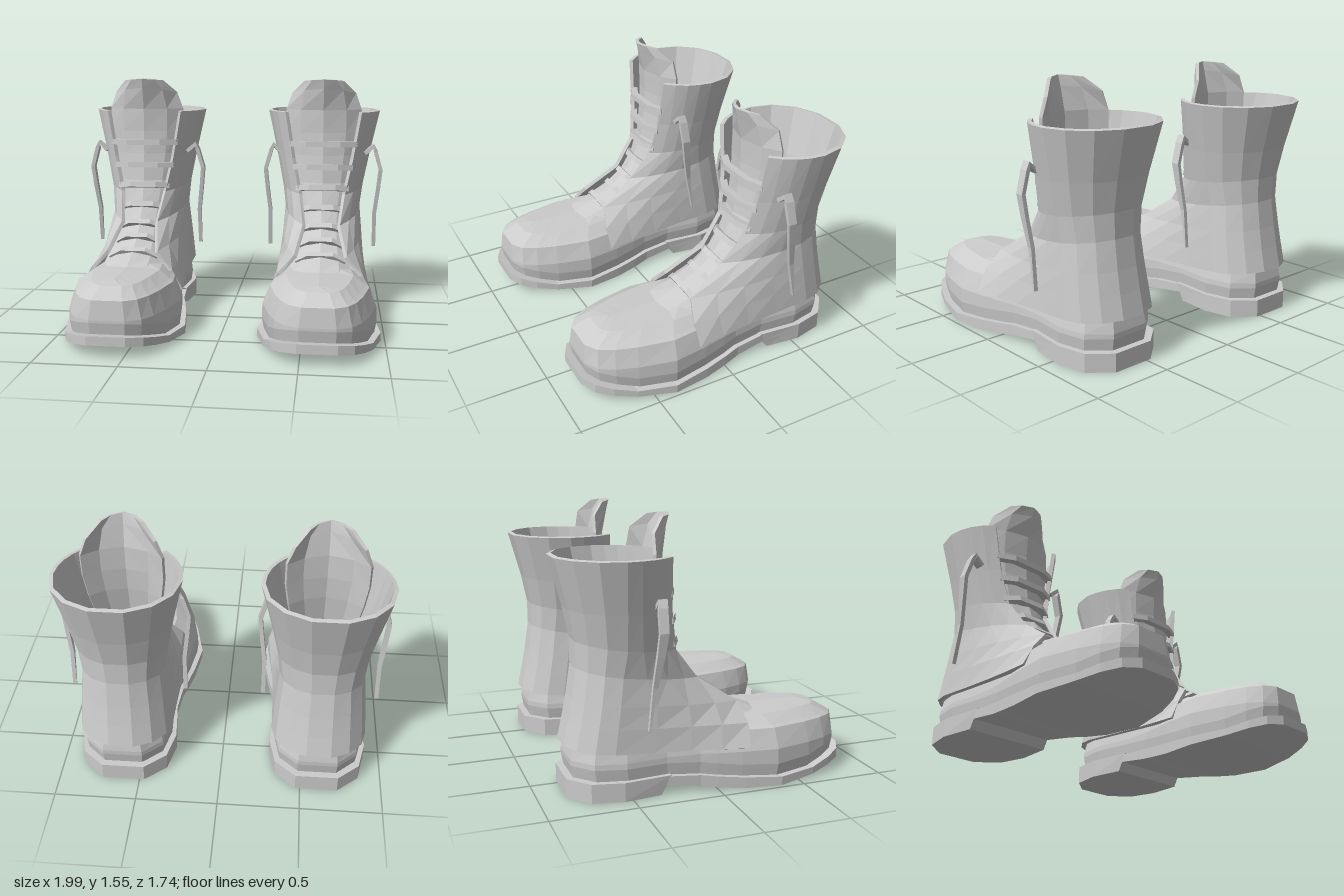
import * as THREE from 'three';

const material = new THREE.MeshStandardMaterial({ color: 0xcccccc, flatShading: true, side: THREE.DoubleSide });

function geometry(points, index) {
  const g = new THREE.BufferGeometry();
  g.setAttribute('position', new THREE.Float32BufferAttribute(points.flat(), 3));
  g.setIndex(index);
  g.computeVertexNormals();
  return g;
}

// Quads between rows of points; closed joins the last column to the first
function quads(rows, cols, closed) {
  const index = [];
  for (let r = 0; r < rows - 1; r++) {
    for (let c = 0; c < (closed ? cols : cols - 1); c++) {
      const d = (c + 1) % cols, a = r * cols + c, b = r * cols + d;
      index.push(a, b, b + cols, a, b + cols, a + cols);
    }
  }
  return index;
}

const loft = rings => geometry(rings.flat(), quads(rings.length, rings[0].length, true));

// Sheet of points given thickness t behind its front face
function shell(rows, t) {
  const R = rows.length, C = rows[0].length, n = R * C;
  const outer = rows.flat(), face = quads(R, C, false);
  const normal = geometry(outer, face).attributes.normal;
  const inner = outer.map((p, i) => [p[0] - normal.getX(i) * t, p[1] - normal.getY(i) * t, p[2] - normal.getZ(i) * t]);
  const index = [...face];
  for (let i = 0; i < face.length; i += 3) index.push(face[i] + n, face[i + 2] + n, face[i + 1] + n);
  const rim = [];
  for (let c = 0; c < C - 1; c++) rim.push(c);
  for (let r = 0; r < R - 1; r++) rim.push(r * C + C - 1);
  for (let c = C - 1; c > 0; c--) rim.push((R - 1) * C + c);
  for (let r = R - 1; r > 0; r--) rim.push(r * C);
  rim.forEach((a, i) => {
    const b = rim[(i + 1) % rim.length];
    index.push(b, a, a + n, b, a + n, b + n);
  });
  return geometry([...outer, ...inner], index);
}

// Piecewise linear lookup in [key, value] pairs
function lookup(table, v) {
  if (v <= table[0][0]) return table[0][1];
  for (let i = 1; i < table.length; i++) {
    const [a, p] = table[i - 1], [b, q] = table[i];
    if (v <= b) return p + (q - p) * (v - a) / (b - a);
  }
  return table[table.length - 1][1];
}

const mirrored = half => [...half, ...half.map(([x, ...rest]) => [-x, ...rest]).reverse()];

// Half outline of the sole, toe to heel, as [x, z]
const halfOutline = [[0.115, 0.87], [0.21, 0.82], [0.27, 0.73], [0.32, 0.6], [0.375, 0.37], [0.345, 0.15], [0.315, 0],
  [0.29, -0.1], [0.275, -0.3], [0.3, -0.55], [0.26, -0.73], [0.13, -0.84]];
const outline = mirrored(halfOutline);
const soleTop = [[-0.84, 0.11], [-0.2, 0.105], [0, 0.08], [0.2, 0.06], [0.4, 0.05], [0.6, 0.06], [0.87, 0.125]];
const soleBottom = [[-0.84, 0.06], [-0.27, 0.055], [0, 0.015], [0.15, 0], [0.5, 0], [0.87, 0.07]];

function sole() {
  const ring = (s, table) => outline.map(([x, z]) => [x * s, lookup(table, z), z]);
  return loft([ring(0, soleBottom), ring(1, soleBottom), ring(1, soleTop), ring(0, soleTop)]);
}

function heel() {
  const back = halfOutline.filter(p => p[1] < -0.4);
  const ring = (s, y, front) => mirrored([[0.275, front], ...back]).map(([x, z]) => [x * s, y, z]);
  return loft([ring(0, 0, -0.33), ring(1, 0, -0.33), ring(1, 0.11, -0.27), ring(0, 0.11, -0.27)]);
}

// Foot: rings of [x scale, z scale, height], low and flat inside the shaft
function foot() {
  const levels = [[0.9, 0.95, 0], [0.93, 0.965, 0.13], [0.92, 0.965, 0.21], [0.8, 0.95, 0.325],
    [0.74, 0.925, 0.337], [0.55, 0.83, 0.385], [0, 0.72, 0.4]];
  return loft(levels.map(([sx, sz, h], k) => outline.map(([x, z]) => {
    const base = lookup(soleTop, z);
    const inside = z < 0.1;
    let y = k < 2 ? base + k * 0.07 : h;
    if (inside) y = Math.min(y, 0.28);
    else if (k === 6 && z < 0.3) y = 0.43;
    return [x * (inside && k === 3 ? 0.86 : sx), y, z * sz];
  })));
}

// Shaft: each row runs from one front edge around the heel to the other
function shaft() {
  // front edge x, y, z, then half width, back height, centre z, back z
  const rows = [
    [0.33, 0.23, 0.19, 0.29, 0.285, -0.6, -0.84],
    [0.265, 0.36, 0.2, 0.28, 0.42, -0.58, -0.81],
    [0.165, 0.47, 0.17, 0.27, 0.55, -0.56, -0.785],
    [0.12, 0.62, -0.06, 0.255, 0.72, -0.54, -0.76],
    [0.15, 0.8, -0.2, 0.275, 0.87, -0.52, -0.76],
    [0.2, 1.03, -0.24, 0.315, 1.05, -0.53, -0.795],
    [0.25, 1.335, -0.255, 0.38, 1.335, -0.55, -0.87],
  ];
  return shell(rows.map(([fx, fy, fz, w, by, cz, bz]) => {
    const half = [];
    for (let i = 0; i < 4; i++) {
      const t = i / 4, u = 1 - t, mid = cz + 0.6 * (fz - cz);
      half.push([u * u * fx + (1 - u * u) * w, 0, u * u * fz + 2 * u * t * mid + t * t * cz]);
    }
    for (const deg of [0, 25, 50, 75]) {
      const a = THREE.MathUtils.degToRad(deg);
      half.push([w * Math.cos(a), 0, cz + (bz - cz) * Math.sin(a) / Math.sin(Math.PI * 75 / 180)]);
    }
    for (const p of half) p[1] = fy + (by - fy) * (fz - p[2]) / (fz - bz);
    return mirrored(half);
  }), 0.025);
}

// Tongue: sections of z, y, half width, edge set-back, edge drop
function tongue() {
  const sections = [[0.32, 0.4, 0.2, 0, 0.05], [0.17, 0.455, 0.19, 0.03, 0.07], [0.03, 0.53, 0.17, 0.05, 0.06],
    [-0.07, 0.61, 0.16, 0.08, 0.03], [-0.15, 0.72, 0.17, 0.09, 0], [-0.21, 0.87, 0.2, 0.09, 0],
    [-0.235, 1.05, 0.23, 0.1, 0], [-0.245, 1.2, 0.25, 0.1, 0], [-0.24, 1.35, 0.25, 0.11, 0],
    [-0.205, 1.49, 0.21, 0.14, 0.03], [-0.19, 1.55, 0.13, 0.08, 0.01]];
  return shell(sections.map(([z, y, w, back, drop]) =>
    [-1, -0.6, 0, 0.6, 1].map(s => [s * w, y - drop * s * s, z - back * s * s])), 0.02);
}

// Lace crossing the tongue, leaning back by tilt
function lace([y, z, w, tilt]) {
  const c = Math.cos(tilt), s = Math.sin(tilt);
  return shell([-0.018, 0.018].map(v => [-1, -0.5, 0.5, 1].map(k => {
    const back = Math.abs(k) === 1 ? 0.05 : 0;
    return [k * w, y + v * c - back * s, z - v * s - back * c];
  })), 0.045);
}

// Loose lace end hanging at one side, tapering downward
function laceEnd(side) {
  const path = [[0.27, 1.07, -0.345, 0.027], [0.335, 1.125, -0.345, 0.027], [0.36, 1.08, -0.35, 0.027],
    [0.397, 0.95, -0.355, 0.026], [0.385, 0.82, -0.37, 0.022], [0.365, 0.65, -0.395, 0.015], [0.367, 0.41, -0.43, 0.003]];
  return shell(path.map(([x, y, z, w]) => [-1, 1].map(k => [side * x, y, z + k * side * w])), 0.025);
}

function boot() {
  const group = new THREE.Group();
  const add = (name, geo) => {
    const mesh = new THREE.Mesh(geo, material);
    mesh.name = name;
    group.add(mesh);
  };
  add('sole', sole());
  add('heel', heel());
  add('foot', foot());
  add('shaft', shaft());
  add('tongue', tongue());
  const laces = [[1.13, -0.2, 0.225, 0.05], [0.98, -0.185, 0.2, 0.1], [0.85, -0.17, 0.175, 0.25],
    [0.725, -0.135, 0.155, 0.5], [0.62, -0.055, 0.14, 0.8], [0.545, 0.035, 0.14, 0.95], [0.475, 0.15, 0.16, 1.1]];
  laces.forEach((l, i) => add('lace' + (i + 1), lace(l)));
  add('leftLaceEnd', laceEnd(1));
  add('rightLaceEnd', laceEnd(-1));
  return group;
}

export function createModel() {
  const model = new THREE.Group();
  model.name = 'boots';
  for (const side of [1, -1]) {
    const b = boot();
    b.name = side > 0 ? 'leftBoot' : 'rightBoot';
    b.position.x = side * 0.6;
    model.add(b);
  }
  return model;
}
